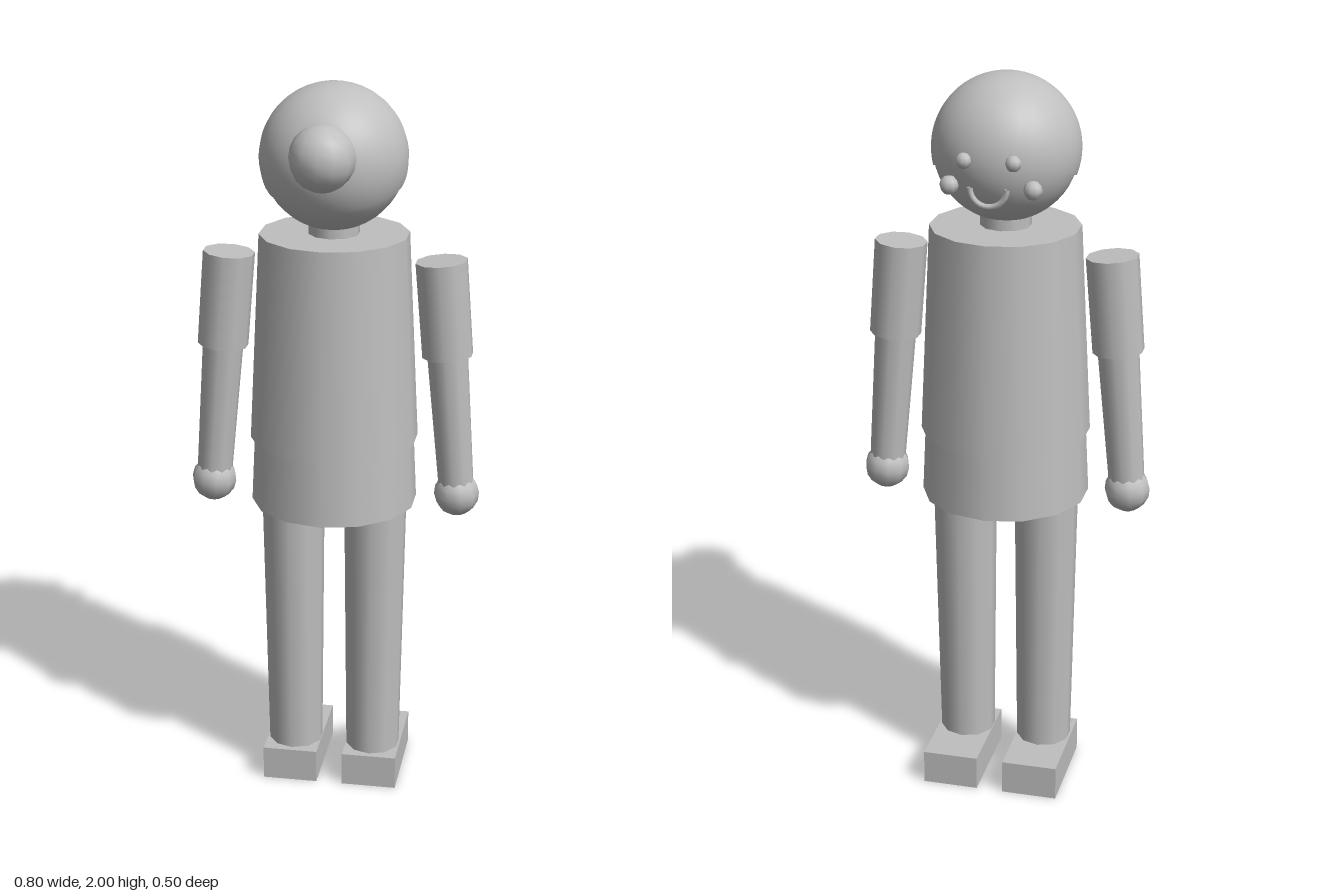
import * as THREE from 'three';

const Z = -0.023; // depth of the body axis

export function createModel() {
  const grey = new THREE.MeshStandardMaterial({ color: 0xbfbfbf, side: THREE.DoubleSide });
  grey.name = 'plain grey';
  const model = new THREE.Group();
  model.name = 'figure';

  const add = (name, geometry, x, y, z, parent = model) => {
    const mesh = new THREE.Mesh(geometry, grey);
    mesh.name = name;
    mesh.position.set(x, y, z);
    parent.add(mesh);
    return mesh;
  };
  // Tapered round part given by its bottom and top heights
  const column = (name, rTop, rBottom, y0, y1, sides, x = 0, z = Z, parent = model) =>
    add(name, new THREE.CylinderGeometry(rTop, rBottom, y1 - y0, sides), x, (y0 + y1) / 2, z, parent);
  const ball = (name, r, x, y, z, w = 8, h = 6, parent = model) =>
    add(name, new THREE.SphereGeometry(r, w, h), x, y, z, parent);

  // Torso with a slightly larger shirt over it
  column('torso', 0.19, 0.226, 0.85, 1.595, 14);
  column('shirt', 0.2, 0.228, 1.03, 1.6, 14);
  column('neck', 0.068, 0.068, 1.58, 1.67, 10, 0, -0.019);

  // Head, tilted hair cap and bun
  ball('head', 0.19, 0, 1.805, -0.013, 32, 24);
  const hair = add('hair',
    new THREE.SphereGeometry(0.195, 32, 20, 0, Math.PI * 2, 0, Math.PI * 0.6), 0, 1.805, -0.013);
  hair.rotation.x = 0.29;
  ball('bun', 0.087, 0, 1.84, 0.163, 12, 10);

  // Smile on the face, which looks toward -z
  const smile = add('smile',
    new THREE.TorusGeometry(0.048, 0.008, 6, 14, Math.PI), 0, 1.745, -0.203);
  smile.rotation.z = Math.PI;

  for (const [side, s] of [['left', 1], ['right', -1]]) {
    ball(side + 'Eye', 0.021, s * 0.064, 1.812, -0.2);
    ball(side + 'Cheek', 0.025, s * 0.109, 1.74, -0.176);

    // Leg and foot
    column(side + 'Leg', 0.087, 0.076, 0.08, 0.87, 10, s * 0.113, Z).rotation.z = -s * 0.004;
    add(side + 'Foot', new THREE.BoxGeometry(0.153, 0.095, 0.284), s * 0.1135, 0.0475, -0.072);

    // Arm hangs from the shoulder, leaning outward
    const arm = new THREE.Group();
    arm.name = side + 'Arm';
    arm.position.set(s * 0.285, 1.536, Z);
    arm.rotation.z = s * 0.081;
    model.add(arm);
    column(side + 'Sleeve', 0.07, 0.069, -0.26, 0, 10, 0, 0, arm);
    column(side + 'Forearm', 0.06, 0.048, -0.655, -0.01, 10, 0, 0, arm);
    ball(side + 'Hand', 0.062, 0, -0.655, 0, 10, 8, arm);
  }
  return model;
}
